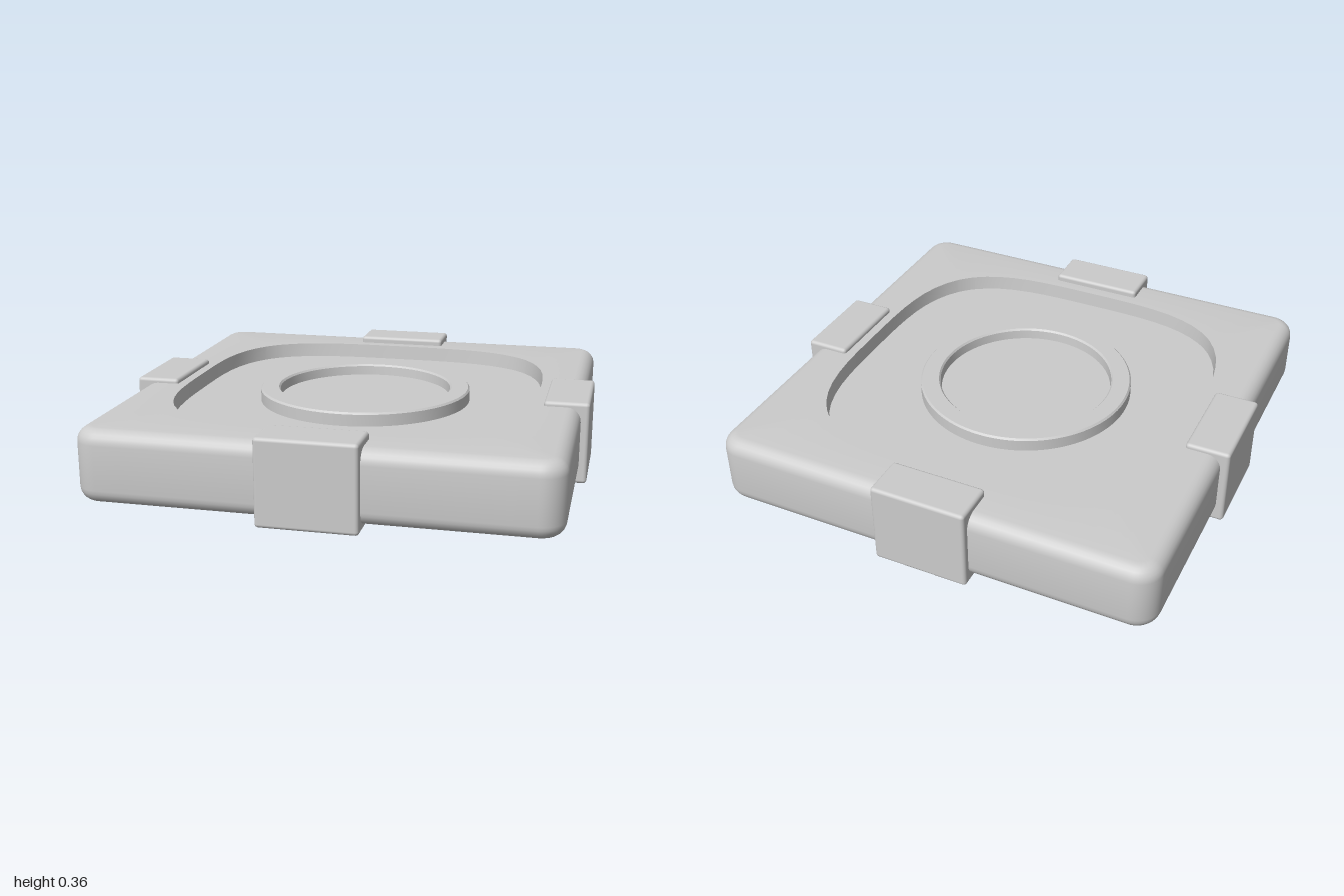
import * as THREE from 'three';
import { toCreasedNormals } from 'three/addons/utils/BufferGeometryUtils.js';
import { RoundedBoxGeometry } from 'three/addons/geometries/RoundedBoxGeometry.js';

const material = new THREE.MeshStandardMaterial({ color: 0xcccccc });
const CREASE = 0.6;

// Rounded-square outline pulled inwards by `inset`
function squareOutline(inset) {
  const hx = 0.965, hz = 0.97, r = 0.1, arc = 10, edge = 16;
  const corner = (k, s) => {
    const a = (k + s / arc) * Math.PI / 2;
    const sx = k % 4 === 0 || k % 4 === 3 ? 1 : -1, sz = k % 4 < 2 ? 1 : -1;
    return [sx * (hx - r) + (r - inset) * Math.cos(a), sz * (hz - r) + (r - inset) * Math.sin(a)];
  };
  const pts = [];
  for (let k = 0; k < 4; k++) {
    for (let s = 0; s <= arc; s++) pts.push(corner(k, s));
    const a = corner(k, arc), b = corner(k + 1, 0);
    for (let e = 1; e < edge; e++) {
      pts.push([a[0] + (b[0] - a[0]) * e / edge, a[1] + (b[1] - a[1]) * e / edge]);
    }
  }
  return pts;
}

// Soft-cornered square, sampled along the same directions as the outer outline
function softSquare(rx, rz, n = 3.5) {
  return squareOutline(0).map(([x, z]) => {
    const k = Math.pow(Math.pow(Math.abs(x) / rx, n) + Math.pow(Math.abs(z) / rz, n), -1 / n);
    return [x * k, z * k];
  });
}

// Joins [outline, height] rows into one skin
function loft(rows) {
  const pos = [], idx = [], n = rows[0][0].length;
  for (const [pts, y] of rows) for (const [x, z] of pts) pos.push(x, y, z);
  for (let j = 0; j < rows.length - 1; j++) {
    for (let i = 0; i < n; i++) {
      const a = j * n + i, b = j * n + (i + 1) % n;
      idx.push(a, a + n, b, b, a + n, b + n);
    }
  }
  const geo = new THREE.BufferGeometry();
  geo.setAttribute('position', new THREE.Float32BufferAttribute(pos, 3));
  geo.setIndex(idx);
  return toCreasedNormals(geo, CREASE);
}

export function createModel() {
  const model = new THREE.Group();
  const add = (name, geo, x = 0, y = 0, z = 0) => {
    const mesh = new THREE.Mesh(geo, material);
    mesh.name = name;
    mesh.position.set(x, y, z);
    model.add(mesh);
  };

  // Slab with rounded edges and a sunken panel in its top
  const bottom = 0.025, top = 0.33, bevel = 0.06, steps = 6, floor = 0.265;
  const centre = squareOutline(0).map(() => [0, 0]);
  const rows = [[centre, bottom]];
  for (let i = 0; i <= steps; i++) {
    const a = i / steps * Math.PI / 2;
    rows.push([squareOutline(bevel * (1 - Math.sin(a))), bottom + bevel * (1 - Math.cos(a))]);
  }
  for (let i = 0; i <= steps; i++) {
    const a = i / steps * Math.PI / 2;
    rows.push([squareOutline(bevel * (1 - Math.cos(a))), top - bevel * (1 - Math.sin(a))]);
  }
  rows.push([softSquare(0.77, 0.76), top], [softSquare(0.765, 0.755), floor], [centre, floor]);
  add('slab', loft(rows));

  // Raised ring around a shallow dish
  const profile = [
    [0.465, floor - 0.01], [0.465, 0.315], [0.458, 0.323],
    [0.385, 0.323], [0.378, 0.315], [0.375, 0.275], [0, 0.275],
  ].map(([r, y]) => new THREE.Vector2(r, y));
  add('centreRing', toCreasedNormals(new THREE.LatheGeometry(profile, 96), CREASE));

  // Clamps gripping the middle of each side
  for (const s of [1, -1]) {
    add(s > 0 ? 'frontClamp' : 'backClamp',
      new RoundedBoxGeometry(0.41, 0.36, 0.19, 3, 0.015), 0, 0.18, s * 0.905);
    add(s > 0 ? 'leftClamp' : 'rightClamp',
      new RoundedBoxGeometry(0.19, 0.35, 0.41, 3, 0.015), s * 0.905, 0.175, 0);
  }
  return model;
}
